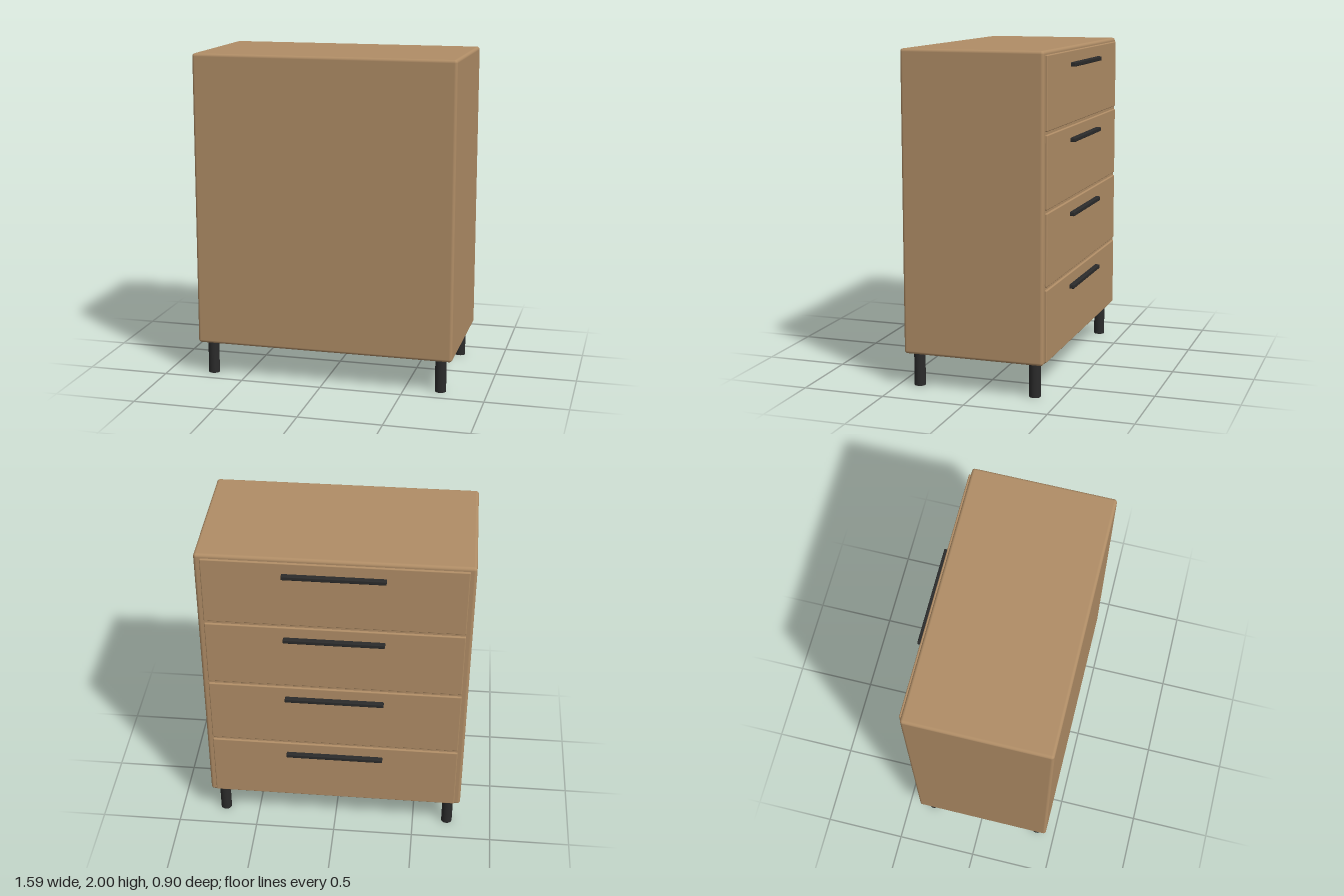
import * as THREE from 'three';
import { RoundedBoxGeometry } from 'three/addons/geometries/RoundedBoxGeometry.js';

const wood = new THREE.MeshStandardMaterial({ color: 0xb08d66 });
const black = new THREE.MeshStandardMaterial({ color: 0x2b2b2b });

export function createModel() {
  const model = new THREE.Group();
  model.name = 'chestOfDrawers';

  const add = (name, geometry, material, x, y, z) => {
    const mesh = new THREE.Mesh(geometry, material);
    mesh.name = name;
    mesh.position.set(x, y, z);
    model.add(mesh);
  };

  // Cabinet with softly rounded edges
  add('cabinet', new RoundedBoxGeometry(1.594, 1.795, 0.858, 4, 0.018), wood, 0, 1.1025, 0.02);

  // Four drawer fronts, each with a bar handle, on the -z side
  const frontGeometry = new RoundedBoxGeometry(1.52, 0.425, 0.04, 3, 0.006);
  const handleGeometry = new RoundedBoxGeometry(0.596, 0.026, 0.034, 3, 0.006);
  for (let i = 0; i < 4; i++) {
    const y = 1.764 - i * 0.444;
    add('drawerFront', frontGeometry, wood, 0, y, -0.402);
    add('drawerHandle', handleGeometry, black, 0, y + 0.131, -0.433);
  }

  // Round legs
  const legGeometry = new THREE.CylinderGeometry(0.034, 0.034, 0.22, 24);
  for (const x of [-0.72, 0.72]) {
    for (const z of [-0.34, 0.38]) add('leg', legGeometry, black, x, 0.11, z);
  }
  return model;
}
